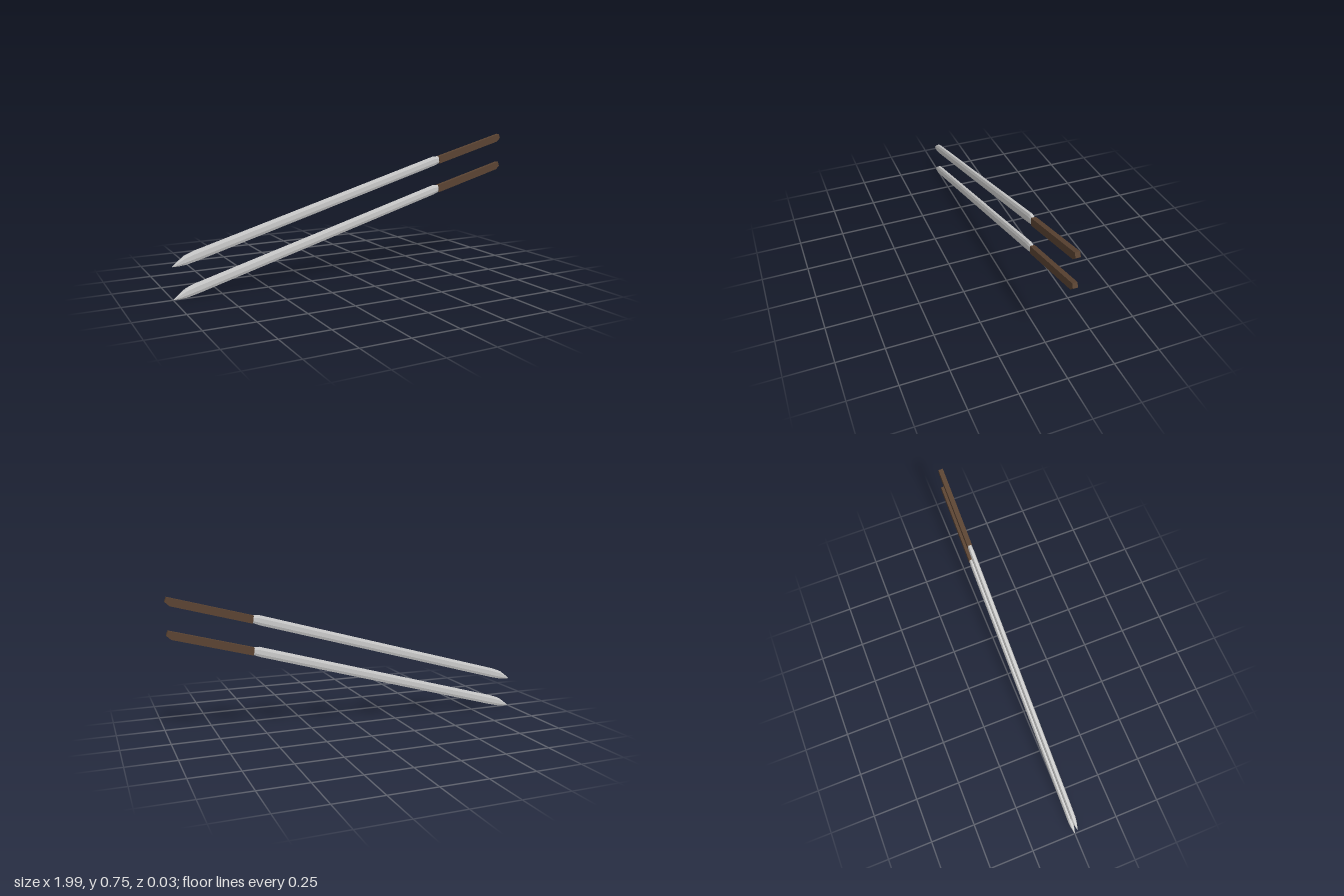
import * as THREE from 'three';

const HALF = 0.0125; // half thickness

// Blade stations: lower edge x, y, upper edge x, y, half thickness
const STATIONS = [
  [-0.998, 0.0, -0.998, 0.003, 0.001],
  [-0.962, 0.002, -0.965, 0.029, 0.009],
  [-0.93, 0.006, -0.935, 0.051, HALF],
  [-0.872, 0.02, -0.885, 0.07, HALF],
  [0.527, 0.418, 0.527, 0.470, HALF],
  [0.56, 0.431, 0.557, 0.470, 0.011],
];

// Eight-sided blade section: across (-1 lower edge, 1 upper edge), thickness
const SECTION = [
  [-1, 0.6], [-0.45, 1], [0.45, 1], [1, 0.6],
  [1, -0.6], [0.45, -1], [-0.45, -1], [-1, -0.6],
];

function bladeGeometry() {
  const rings = STATIONS.map(([x0, y0, x1, y1, h]) => SECTION.map(([v, w]) => {
    const t = (v + 1) / 2;
    return [x0 + (x1 - x0) * t, y0 + (y1 - y0) * t, w * h];
  }));
  const pos = [];
  const tri = (a, b, c) => pos.push(...a, ...b, ...c);
  const n = SECTION.length, last = rings.length - 1;
  for (let i = 0; i < last; i++) {
    for (let j = 0; j < n; j++) {
      const k = (j + 1) % n;
      const a = rings[i][j], b = rings[i + 1][j], c = rings[i + 1][k], d = rings[i][k];
      tri(a, b, c);
      tri(a, c, d);
    }
  }
  // end caps
  for (let j = 1; j < n - 1; j++) {
    tri(rings[0][0], rings[0][j], rings[0][j + 1]);
    tri(rings[last][0], rings[last][j + 1], rings[last][j]);
  }
  const g = new THREE.BufferGeometry();
  g.setAttribute('position', new THREE.Float32BufferAttribute(pos, 3));
  g.computeVertexNormals();
  return g;
}

// Flat-sided grip with a bevelled pommel end
function gripGeometry() {
  const shape = new THREE.Shape([
    [0.562, 0.429], [0.974, 0.54], [0.996, 0.561], [0.987, 0.585], [0.556, 0.470],
  ].map(([x, y]) => new THREE.Vector2(x, y)));
  const g = new THREE.ExtrudeGeometry(shape, { depth: HALF * 2, bevelEnabled: false });
  g.translate(0, 0, -HALF);
  return g;
}

export function createModel() {
  const model = new THREE.Group();
  model.name = 'pairedSwords';
  const steel = new THREE.MeshStandardMaterial({ color: 0xcccccc, flatShading: true });
  const leather = new THREE.MeshStandardMaterial({ color: 0x5a4332, flatShading: true });
  const bladeGeo = bladeGeometry(), gripGeo = gripGeometry();

  // Two identical swords, one above the other
  [['lowerSword', 0], ['upperSword', 0.167]].forEach(([name, y]) => {
    const sword = new THREE.Group();
    sword.name = name;
    const blade = new THREE.Mesh(bladeGeo, steel);
    blade.name = 'blade';
    const grip = new THREE.Mesh(gripGeo, leather);
    grip.name = 'grip';
    sword.add(blade, grip);
    sword.position.y = y;
    model.add(sword);
  });
  return model;
}
